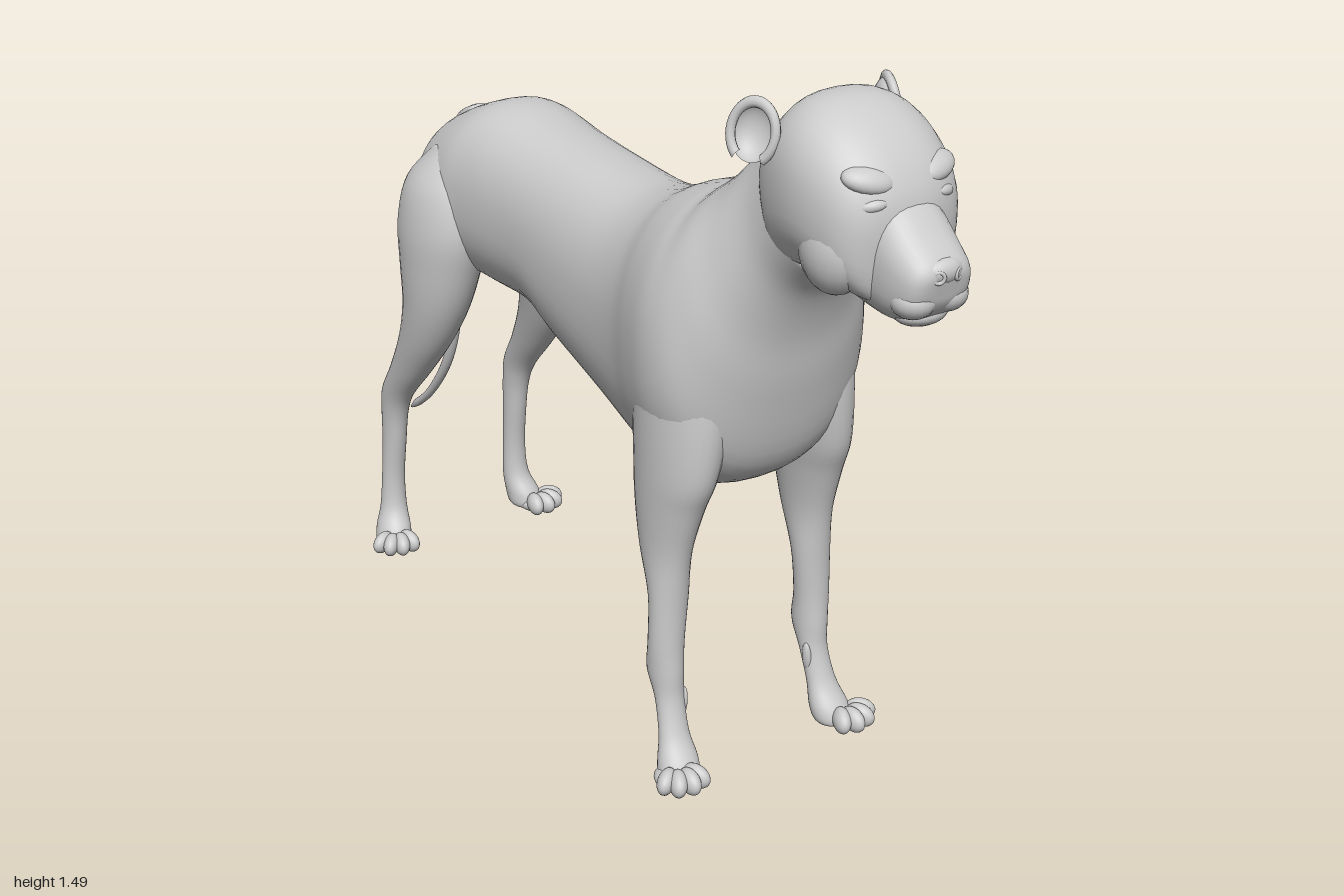
import * as THREE from 'three';

const material = new THREE.MeshStandardMaterial({ color: 0xcccccc });
const thin = new THREE.MeshStandardMaterial({ color: 0xcccccc, side: THREE.DoubleSide });

// Uniform Catmull-Rom through rows of numbers, sampled "steps" times per span.
function smoothRows(rows, steps) {
  const out = [];
  const at = i => rows[Math.max(0, Math.min(rows.length - 1, i))];
  for (let i = 0; i < rows.length - 1; i++) {
    for (let k = 0; k < steps; k++) {
      const t = k / steps;
      out.push(rows[i].map((p1, j) => {
        const p0 = at(i - 1)[j], p2 = at(i + 1)[j], p3 = at(i + 2)[j];
        return p1 + 0.5 * t * (p2 - p0 + t * (2 * p0 - 5 * p1 + 4 * p2 - p3 + t * (3 * (p1 - p2) + p3 - p0)));
      }));
    }
  }
  out.push(rows[rows.length - 1]);
  return out;
}

// Closed skin over rings; each row is [x, yA, zA, yB, zB, halfWidth]
// where A and B are opposite points of the ring in the side plane.
function loft(rows, { power = 2, sides = 32, steps = 5, mirror = 1 } = {}) {
  const rings = smoothRows(rows, steps);
  const pos = [], index = [];
  const e = 2 / power;
  const round = v => Math.sign(v) * Math.pow(Math.abs(v), e);
  for (const [x, yA, zA, yB, zB, w] of rings) {
    for (let j = 0; j < sides; j++) {
      const a = (j / sides) * Math.PI * 2, c = round(Math.cos(a)), s = round(Math.sin(a));
      pos.push(mirror * (x + w * c), (yA + yB) / 2 + s * (yA - yB) / 2, (zA + zB) / 2 + s * (zA - zB) / 2);
    }
  }
  for (let i = 0; i < rings.length - 1; i++) {
    for (let j = 0; j < sides; j++) {
      const a = i * sides + j, b = i * sides + (j + 1) % sides;
      index.push(a, b, a + sides, b, b + sides, a + sides);
    }
  }
  // end caps
  const last = (rings.length - 1) * sides;
  [rings[0], rings[rings.length - 1]].forEach(([x, yA, zA, yB, zB], end) => {
    const c = pos.length / 3;
    pos.push(mirror * x, (yA + yB) / 2, (zA + zB) / 2);
    for (let j = 0; j < sides; j++) {
      const k = (j + 1) % sides;
      if (end) index.push(c, last + j, last + k);
      else index.push(c, k, j);
    }
  });
  // turn the faces outward if the enclosed volume is negative
  const v = i => new THREE.Vector3(pos[3 * i], pos[3 * i + 1], pos[3 * i + 2]);
  let volume = 0;
  for (let i = 0; i < index.length; i += 3) volume += v(index[i]).dot(v(index[i + 1]).cross(v(index[i + 2])));
  if (volume < 0) index.reverse();
  const g = new THREE.BufferGeometry();
  g.setAttribute('position', new THREE.Float32BufferAttribute(pos, 3));
  g.setIndex(index);
  g.computeVertexNormals();
  return g;
}

function add(parent, name, geometry, mat = material) {
  const m = new THREE.Mesh(geometry, mat);
  m.name = name;
  parent.add(m);
  return m;
}

function blob(parent, name, p, r, rot = [0, 0, 0]) {
  const m = add(parent, name, new THREE.SphereGeometry(1, 20, 14));
  m.position.set(...p);
  m.scale.set(...r);
  m.rotation.set(...rot);
  return m;
}

// Rows given as [zTop, yTop, zBottom, yBottom, halfWidth]
const spine = rows => rows.map(([zt, yt, zb, yb, w]) => [0, yt, zt, yb, zb, w]);
// Rows given as [x, y, zFront, zBack, halfWidth]
const limb = rows => rows.map(([x, y, zf, zb, w]) => [x, y, zf, y, zb, w]);

const torso = spine([
  [-.685, .99, -.685, .9, .03], [-.67, 1.05, -.68, .84, .1], [-.63, 1.11, -.655, .79, .15],
  [-.5, 1.172, -.5, .775, .18], [-.4, 1.193, -.4, .77, .175], [-.25, 1.175, -.22, .765, .165],
  [-.1, 1.16, -.1, .715, .168], [.1, 1.147, .1, .65, .18], [.22, 1.17, .25, .605, .2],
  [.3, 1.205, .36, .6, .228], [.37, 1.228, .45, .62, .246], [.41, 1.24, .53, .69, .24],
  [.44, 1.26, .575, .85, .212], [.49, 1.3, .6, .98, .17], [.55, 1.365, .64, 1.08, .135],
  [.62, 1.43, .7, 1.14, .125],
]);
const skull = spine([
  [.56, 1.38, .63, 1.14, .1], [.6, 1.425, .66, 1.145, .132], [.66, 1.478, .7, 1.15, .15],
  [.73, 1.487, .75, 1.155, .158], [.8, 1.46, .8, 1.15, .153], [.86, 1.41, .85, 1.14, .135],
  [.895, 1.355, .88, 1.14, .1], [.91, 1.3, .9, 1.17, .04],
]);
const muzzle = spine([
  [.84, 1.365, .8, 1.13, .09], [.9, 1.33, .86, 1.118, .084], [.945, 1.288, .91, 1.118, .08],
  [.98, 1.255, .955, 1.135, .07], [.993, 1.235, .98, 1.165, .05], [.995, 1.22, .988, 1.19, .02],
]);
const frontLeg = limb([
  [.14, .98, .5, .34, .06], [.145, .9, .53, .31, .085], [.152, .8, .54, .3, .082],
  [.165, .68, .53, .31, .068], [.172, .6, .5, .32, .058], [.177, .5, .47, .34, .047],
  [.18, .4, .459, .38, .042], [.185, .3, .457, .384, .038], [.185, .23, .46, .376, .036],
  [.185, .17, .463, .405, .031], [.19, .1, .485, .43, .033], [.195, .05, .52, .44, .043],
  [.2, .02, .53, .45, .042], [.2, .008, .51, .47, .02],
]);
const hindLeg = limb([
  [.1, 1.08, -.46, -.58, .05], [.12, 1.0, -.42, -.65, .092], [.138, .9, -.405, -.672, .095],
  [.148, .8, -.428, -.66, .085], [.155, .7, -.465, -.652, .072], [.162, .6, -.525, -.68, .057],
  [.167, .5, -.61, -.735, .043], [.17, .42, -.685, -.788, .034], [.17, .36, -.718, -.798, .03],
  [.17, .28, -.735, -.8, .028], [.172, .18, -.75, -.805, .028], [.175, .1, -.745, -.81, .032],
  [.185, .05, -.715, -.81, .04], [.19, .02, -.71, -.8, .04], [.19, .008, -.73, -.78, .02],
]);

// Four toes fanned out around the foot
function paw(parent, name, s, x, z, yaw) {
  const g = new THREE.Group();
  g.name = name;
  for (let i = 0; i < 4; i++) {
    const a = yaw + (i - 1.5) * .42, d = i === 1 || i === 2 ? .06 : .054;
    blob(g, 'toe', [s * (x + d * Math.sin(a)), .036, z + d * Math.cos(a)], [.019, .026, .033], [.2, s * a, 0]);
  }
  blob(g, 'pad', [s * (x + .01), .024, z + .015], [.04, .022, .045]);
  parent.add(g);
}

// Cupped ear with a rolled rim, open outward and forward
function ear(parent, name, s) {
  const g = new THREE.Group();
  g.name = name;
  const bowl = add(g, 'earShell', new THREE.SphereGeometry(.045, 24, 10, 0, Math.PI * 2, Math.PI / 2, Math.PI / 2), thin);
  bowl.rotation.x = Math.PI / 2;
  bowl.scale.set(1, .75, 1);
  const rim = add(g, 'earRim', new THREE.TorusGeometry(.045, .009, 10, 32, Math.PI * 1.6));
  rim.rotation.z = -.9;
  g.position.set(s * .158, 1.415, .638);
  g.rotation.set(0, s * 1.15, s * .2, 'ZYX');
  g.scale.set(1, 1.22, 1);
  parent.add(g);
}

export function createModel() {
  const model = new THREE.Group();
  model.name = 'bigCat';

  add(model, 'torsoAndNeck', loft(torso, { power: 2.25, sides: 48 }));

  // head
  const head = new THREE.Group();
  head.name = 'head';
  model.add(head);
  add(head, 'skull', loft(skull, { power: 2.4, sides: 40 }));
  add(head, 'muzzle', loft(muzzle, { power: 2.5 }));
  blob(head, 'nose', [0, 1.228, .976], [.042, .026, .024], [.4, 0, 0]);
  blob(head, 'chin', [0, 1.138, .925], [.055, .025, .04]);

  // tail, with rings set square to its path
  const path = new THREE.CatmullRomCurve3([
    [1.1, -.6], [1.085, -.66], [1.0, -.72], [.8, -.732], [.6, -.742], [.45, -.79], [.32, -.89], [.238, -.995],
  ].map(([y, z]) => new THREE.Vector3(0, y, z)));
  const tail = [];
  for (let i = 0; i <= 30; i++) {
    const t = i / 30, p = path.getPointAt(t), d = path.getTangentAt(t);
    const r = i === 30 ? .003 : .021 - .012 * t + .016 * Math.exp(-t * 14);
    tail.push([0, p.y + d.z * r, p.z - d.y * r, p.y - d.z * r, p.z + d.y * r, r]);
  }
  add(model, 'tail', loft(tail, { sides: 16, steps: 2 }));

  for (const s of [1, -1]) {
    const side = s > 0 ? 'left' : 'right';
    // face details
    blob(head, side + 'Cheek', [s * .095, 1.235, .8], [.058, .085, .075]);
    blob(head, side + 'Lip', [s * .036, 1.172, .945], [.042, .034, .042]);
    blob(head, side + 'Brow', [s * .075, 1.372, .858], [.05, .022, .03], [.5, s * .4, 0]);
    blob(head, side + 'Eyelid', [s * .08, 1.332, .875], [.03, .014, .018], [0, s * .5, -s * .15]);
    const nostril = add(head, side + 'Nostril', new THREE.TorusGeometry(.01, .004, 8, 16));
    nostril.position.set(s * .022, 1.224, .993);
    nostril.rotation.y = s * .5;
    ear(head, side + 'Ear', s);
    // legs
    add(model, side + 'FrontLeg', loft(frontLeg, { mirror: s }));
    add(model, side + 'HindLeg', loft(hindLeg, { mirror: s }));
    paw(model, side + 'FrontPaw', s, .208, .485, .25);
    paw(model, side + 'HindPaw', s, .19, -.745, .45);
    blob(model, side + 'Dewclaw', [s * .16, .155, .445], [.009, .035, .012], [0, 0, s * .1]);
  }
  return model;
}
